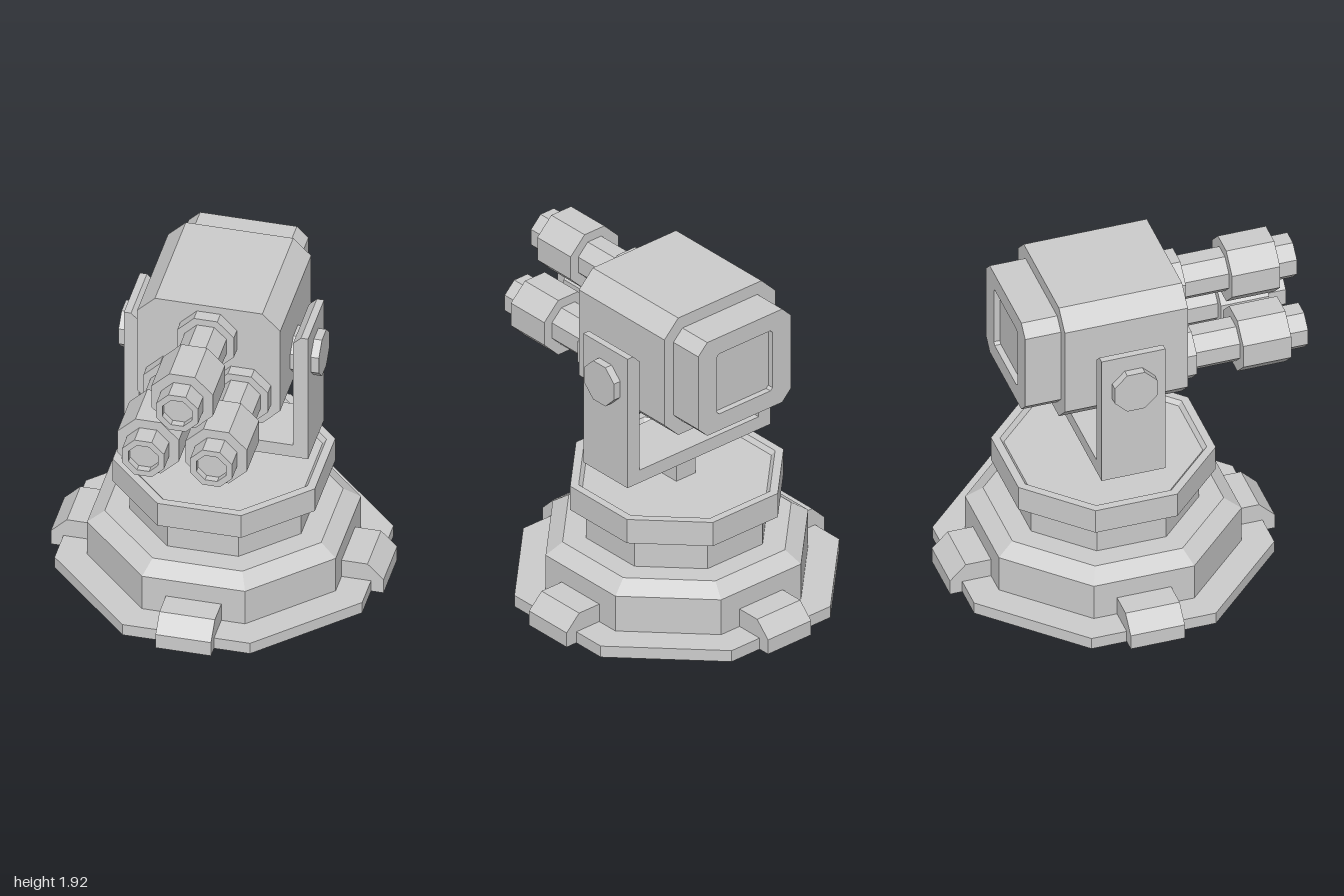
import * as THREE from 'three';

const material = new THREE.MeshStandardMaterial({ color: 0xcccccc, flatShading: true });
const CZ = -0.07; // z of the turret's vertical axis

function add(parent, name, geometry, x = 0, y = 0, z = 0) {
  const flat = geometry.index ? geometry.toNonIndexed() : geometry;
  flat.computeVertexNormals();
  const mesh = new THREE.Mesh(flat, material);
  mesh.name = name;
  mesh.position.set(x, y, z);
  parent.add(mesh);
  return mesh;
}

// Eight-sided turned solid; profile pairs are [distance to flat side, height]
function octagonal(profile) {
  const k = 1 / Math.cos(Math.PI / 8);
  const points = profile.map(([r, y]) => new THREE.Vector2(r * k, y));
  return new THREE.LatheGeometry(points, 8).rotateY(Math.PI / 8);
}

// Rectangle with chamfered corners
function chamferedPoints(w, h, c) {
  return [
    [-w + c, -h], [w - c, -h], [w, -h + c], [w, h - c],
    [w - c, h], [-w + c, h], [-w, h - c], [-w, -h + c],
  ].map(([x, y]) => new THREE.Vector2(x, y));
}

function extrude(points, depth, hole) {
  const shape = new THREE.Shape(points);
  if (hole) shape.holes.push(new THREE.Path(hole));
  return new THREE.ExtrudeGeometry(shape, { depth, bevelEnabled: false });
}

const vectors = (pairs) => pairs.map(([x, y]) => new THREE.Vector2(x, y));

function createBase() {
  const base = new THREE.Group();
  base.name = 'base';
  base.position.z = CZ;
  // Stepped pedestal with a shallow recess in its top
  add(base, 'pedestal', octagonal([
    [0, 0], [0.86, 0], [0.86, 0.07], [0.695, 0.07], [0.695, 0.29], [0.605, 0.355],
    [0.48, 0.355], [0.48, 0.55], [0.565, 0.55], [0.565, 0.7], [0.52, 0.7],
    [0.5, 0.675], [0, 0.675],
  ]));
  // Four chamfered feet
  const profile = vectors([[0.6, 0], [0.93, 0], [0.93, 0.09], [0.84, 0.18], [0.6, 0.18]]);
  for (let i = 0; i < 4; i++) {
    const foot = extrude(profile, 0.31).translate(0, 0, -0.155);
    add(base, 'foot', foot).rotation.y = i * Math.PI / 2;
  }
  add(base, 'post', new THREE.BoxGeometry(0.14, 0.2, 0.15), 0, 0.765, 0);
  return base;
}

function createYoke() {
  const yoke = new THREE.Group();
  yoke.name = 'yoke';
  yoke.position.z = CZ;
  // U-shaped bracket with chamfered inner tips
  const outline = vectors([
    [-0.515, 0.855], [0.515, 0.855], [0.515, 1.67], [0.475, 1.67], [0.43, 1.625], [0.43, 0.935],
    [-0.43, 0.935], [-0.43, 1.625], [-0.475, 1.67], [-0.515, 1.67],
  ]);
  add(yoke, 'bracket', extrude(outline, 0.365).translate(0, 0, -0.1825));
  // Pivot pins
  for (const side of [-1, 1]) {
    const pin = octagonal([[0, -0.1], [0.122, -0.1], [0.122, 0.1], [0, 0.1]]).rotateZ(Math.PI / 2);
    add(yoke, 'pivotPin', pin, side * 0.46, 1.453, 0);
  }
  return yoke;
}

function createHead() {
  const head = new THREE.Group();
  head.name = 'head';
  add(head, 'housing', extrude(chamferedPoints(0.4, 0.37, 0.1), 0.705), 0, 1.555, -0.425);
  // Rear cover with a recessed panel
  const cover = extrude(chamferedPoints(0.335, 0.295, 0.065), 0.205, chamferedPoints(0.2, 0.19, 0.015));
  add(head, 'rearCover', cover, 0, 1.555, -0.63);
  add(head, 'rearPanel', new THREE.BoxGeometry(0.42, 0.4, 0.1), 0, 1.555, -0.545);
  // Three stepped barrels with hollow muzzles
  const profile = [
    [0, 0.25], [0.158, 0.25], [0.158, 0.35], [0.117, 0.35], [0.117, 0.61], [0.172, 0.61],
    [0.172, 0.885], [0.117, 0.885], [0.117, 1], [0.082, 1], [0.082, 0.96], [0, 0.96],
  ];
  for (const [x, y] of [[0, 1.723], [-0.19, 1.382], [0.19, 1.382]]) {
    add(head, 'barrel', octagonal(profile).rotateX(Math.PI / 2), x, y, 0);
  }
  return head;
}

export function createModel() {
  const model = new THREE.Group();
  model.name = 'turret';
  model.add(createBase(), createYoke(), createHead());
  return model;
}
